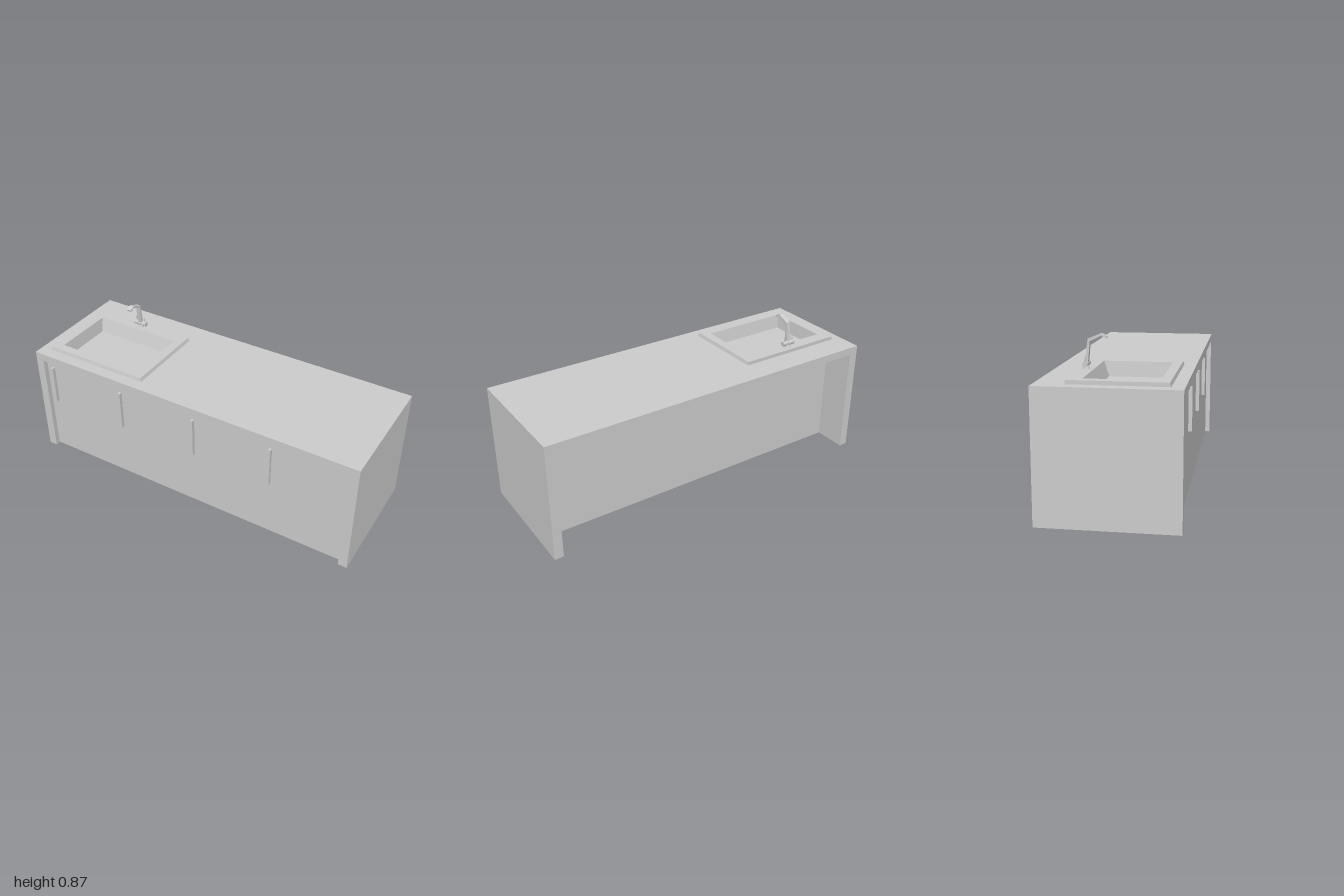
import * as THREE from 'three';

const grey = new THREE.MeshStandardMaterial({ color: 0xcccccc, flatShading: true, side: THREE.DoubleSide });

function add(parent, name, geometry, x = 0, y = 0, z = 0) {
  const mesh = new THREE.Mesh(geometry, grey);
  mesh.name = name;
  mesh.position.set(x, y, z);
  parent.add(mesh);
  return mesh;
}

// Box given by its minimum and maximum along each axis
function box(parent, name, x0, x1, y0, y1, z0, z1) {
  return add(parent, name, new THREE.BoxGeometry(x1 - x0, y1 - y0, z1 - z0),
    (x0 + x1) / 2, (y0 + y1) / 2, (z0 + z1) / 2);
}

// Closed polygon path from [x, y] pairs
const points = (list) => list.map(([x, y]) => new THREE.Vector2(x, y));
const rect = (x0, x1, y0, y1) => points([[x0, y0], [x1, y0], [x1, y1], [x0, y1]]);

// Skin over rectangular loops [x0, x1, z0, z1, y], closed at the last one
function loopSkin(loops) {
  const pos = [], index = [];
  for (const [x0, x1, z0, z1, y] of loops) pos.push(x0, y, z1, x1, y, z1, x1, y, z0, x0, y, z0);
  for (let i = 0; i < loops.length - 1; i++) {
    for (let k = 0; k < 4; k++) {
      const a = i * 4 + k, b = i * 4 + (k + 1) % 4;
      index.push(a, b, b + 4, a, b + 4, a + 4);
    }
  }
  const e = (loops.length - 1) * 4;
  index.push(e, e + 1, e + 2, e, e + 2, e + 3);
  const g = new THREE.BufferGeometry();
  g.setAttribute('position', new THREE.Float32BufferAttribute(pos, 3));
  g.setIndex(index);
  const flat = g.toNonIndexed();
  flat.computeVertexNormals();
  return flat;
}

export function createModel() {
  const model = new THREE.Group();
  model.name = 'kitchenIsland';

  // Worktop with sink cut-out, carried by two full-depth end panels
  const top = new THREE.Shape(rect(-1, 1, -0.35, 0.35));
  top.holes.push(new THREE.Path(rect(-0.89, -0.36, -0.24, 0.135)));
  const slab = new THREE.ExtrudeGeometry(top, { depth: 0.045, bevelEnabled: false });
  slab.rotateX(-Math.PI / 2);
  add(model, 'worktop', slab, 0, 0.625, 0);
  for (const s of [-1, 1]) {
    const edges = [s, s * 0.95].sort((a, b) => a - b);
    box(model, 'endPanel', edges[0], edges[1], 0, 0.625, -0.35, 0.35);
  }

  // Cabinet: recessed back, bottom, four doors with bar handles
  box(model, 'backPanel', -0.95, 0.95, 0, 0.625, -0.16, -0.145);
  box(model, 'bottomPanel', -0.95, 0.95, 0, 0.02, -0.145, 0.318);
  const handleX = [-0.905, -0.428, 0.047, 0.512];
  for (let i = 0; i < 4; i++) {
    const x = -0.95 + i * 0.475;
    box(model, 'door', x, x + 0.475, 0.006, 0.625, 0.3, 0.321);
    box(model, 'handle', handleX[i] - 0.007, handleX[i] + 0.007, 0.345, 0.58, 0.321, 0.341);
  }

  // Sink: raised rim, sloping basin walls and floor
  add(model, 'sink', loopSkin([
    [-0.936, -0.308, -0.2, 0.286, 0.67],
    [-0.936, -0.314, -0.2, 0.281, 0.69],
    [-0.885, -0.365, -0.128, 0.233, 0.69],
    [-0.874, -0.374, -0.1, 0.219, 0.61],
  ]));

  // Tap: flared foot, horizontal body, two levers and a bent spout
  const tap = new THREE.Group();
  tap.name = 'tap';
  tap.position.set(-0.625, 0, -0.165);
  model.add(tap);
  add(tap, 'tapFoot', new THREE.CylinderGeometry(0.009, 0.019, 0.025, 8), 0, 0.7025, 0);
  const body = add(tap, 'tapBody', new THREE.CylinderGeometry(0.0145, 0.0145, 0.08, 8), 0, 0.716, 0);
  body.rotation.set(Math.PI / 8, 0, Math.PI / 2);
  for (const s of [-1, 1]) {
    add(tap, 'tapLever', new THREE.CylinderGeometry(0.003, 0.003, 0.04, 8), s * 0.028, 0.736, 0);
  }
  // Spout outline in side view, measured from the body axis
  const spout = new THREE.ExtrudeGeometry(new THREE.Shape(points([
    [-0.006, 0.72], [0.01, 0.72], [0.02, 0.828], [0.075, 0.855], [0.101, 0.843],
    [0.108, 0.853], [0.075, 0.866], [0.009, 0.839],
  ])), { depth: 0.026, bevelEnabled: false });
  spout.rotateY(-Math.PI / 2);
  add(tap, 'tapSpout', spout, 0.013, 0, 0);

  return model;
}
